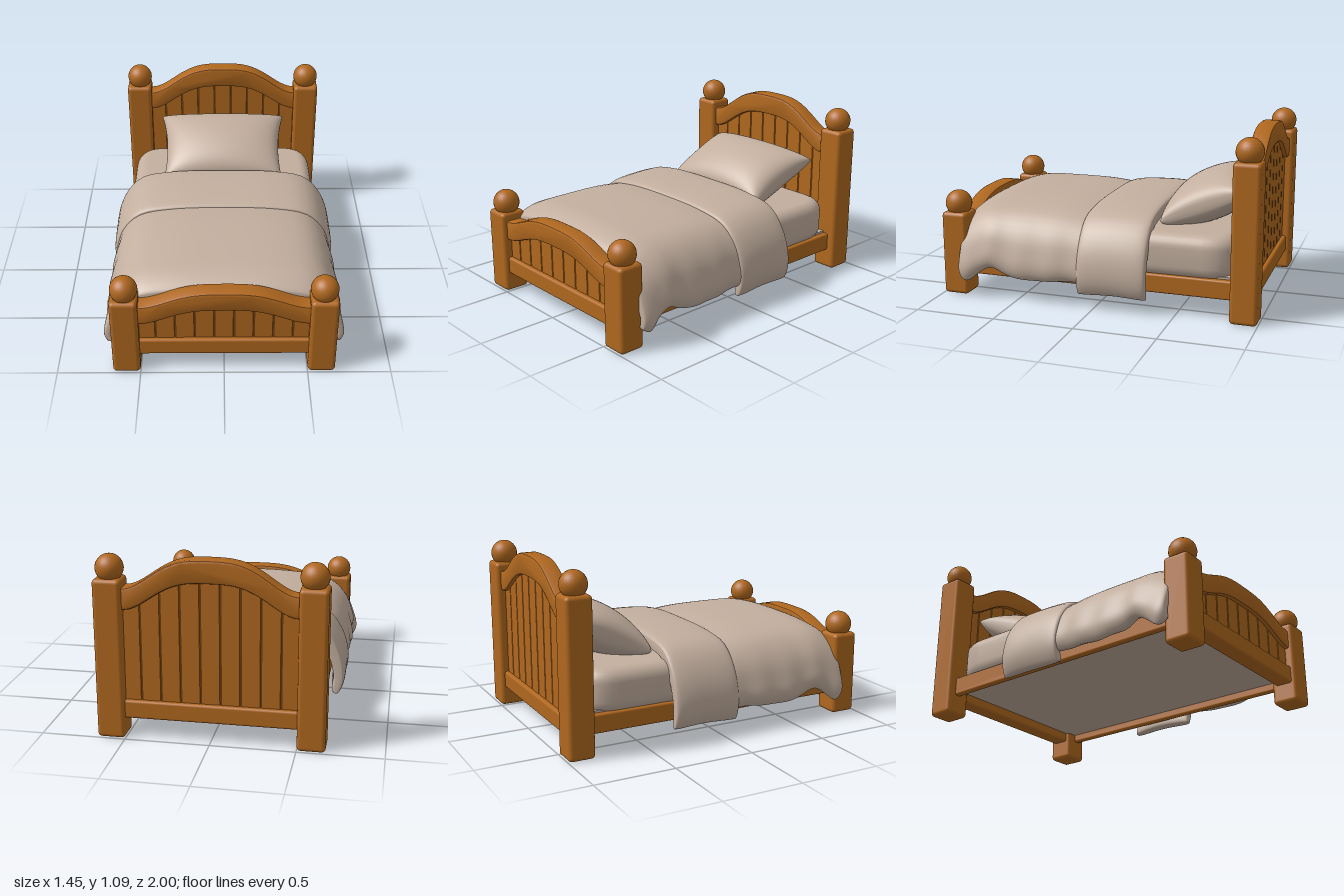
import * as THREE from 'three';
import { toCreasedNormals } from 'three/addons/utils/BufferGeometryUtils.js';
import { RoundedBoxGeometry } from 'three/addons/geometries/RoundedBoxGeometry.js';

const wood = new THREE.MeshStandardMaterial({ color: 0xb0681f });
wood.name = 'honey wood';
const fabric = new THREE.MeshStandardMaterial({ color: 0xc3af9f });
fabric.name = 'beige fabric';

function add(parent, name, geometry, material, x = 0, y = 0, z = 0) {
  const mesh = new THREE.Mesh(geometry, material);
  mesh.name = name;
  mesh.position.set(x, y, z);
  parent.add(mesh);
  return mesh;
}

const roundedBox = (w, h, d, r = 0.02) => new RoundedBoxGeometry(w, h, d, 3, r);

// Extrusion centred on z = 0 with a soft bevel that stays within the given depth
function slab(shape, depth, bevel, steps = 2) {
  const geo = new THREE.ExtrudeGeometry(shape, {
    depth: depth - 2 * bevel, bevelThickness: bevel, bevelSize: bevel,
    bevelOffset: -bevel, bevelSegments: steps, curveSegments: 8,
  });
  geo.translate(0, 0, bevel - depth / 2);
  return toCreasedNormals(geo, 0.7);
}

// Shape between two height functions over an x range
function band(x0, x1, top, bottom, n) {
  const pts = [];
  for (let i = 0; i <= n; i++) { const x = x0 + (x1 - x0) * i / n; pts.push(new THREE.Vector2(x, bottom(x))); }
  for (let i = n; i >= 0; i--) { const x = x0 + (x1 - x0) * i / n; pts.push(new THREE.Vector2(x, top(x))); }
  return new THREE.Shape(pts);
}

// Bell-shaped arch, from base height at the posts to base + rise in the middle
const arch = (base, rise) => x => {
  const t = Math.min(1, Math.abs(x) / 0.5) ** 1.55;
  return base + rise * 0.5 * (1 + Math.cos(Math.PI * t));
};

// Posts, arched rail, planks and bottom rail of one bed end
function bedEnd(name, z, postTop, ballY, topEdge, lowerEdge) {
  const end = new THREE.Group();
  end.name = name;
  end.position.z = z;
  for (const side of [-1, 1]) {
    add(end, 'post', roundedBox(0.165, postTop, 0.165, 0.025), wood, side * 0.583, postTop / 2, 0);
    add(end, 'postBall', new THREE.SphereGeometry(0.082, 24, 16), wood, side * 0.58, ballY, 0);
  }
  add(end, 'archedRail', slab(band(-0.53, 0.53, topEdge, lowerEdge, 40), 0.11, 0.015), wood);
  add(end, 'bottomRail', roundedBox(1.06, 0.11, 0.11, 0.015), wood, 0, 0.175, 0);
  const count = 9, width = 1.04 / count;
  for (let i = 0; i < count; i++) {
    const x = -0.52 + i * width;
    const shape = band(x, x + width, v => lowerEdge(v) + 0.04, () => 0.18, 5);
    add(end, 'plank', slab(shape, 0.056, 0.005, 1), wood);
  }
  return end;
}

// Closed padded sheet: at(p, v, s) gives a point, s being the signed fullness
function padded(at, nu, nv, power) {
  const pos = [], index = [];
  for (let i = 0; i <= nv; i++) {
    const b = Math.PI * i / nv;
    for (let j = 0; j < nu; j++) {
      const a = 2 * Math.PI * j / nu;
      const s = Math.sign(Math.sin(a)) * (Math.abs(Math.sin(a) * Math.sin(b))) ** power;
      pos.push(...at((1 - Math.cos(a)) / 2, (1 - Math.cos(b)) / 2, s));
      if (i < nv) {
        const k = i * nu + j, l = i * nu + (j + 1) % nu;
        index.push(k, k + nu, l, l, k + nu, l + nu);
      }
    }
  }
  const geo = new THREE.BufferGeometry();
  geo.setAttribute('position', new THREE.Float32BufferAttribute(pos, 3));
  geo.setIndex(index);
  geo.computeVertexNormals();
  return geo;
}

// Cover draped across the bed; hang(z) returns [flare, extra drop, sag]
function cover(half, z0, z1, thickness, hang) {
  const left = half.slice(1).reverse().map(([x, y]) => [-x, y]);
  const curve = new THREE.CatmullRomCurve3([...left, ...half].map(([x, y]) => new THREE.Vector3(x, y, 0)));
  return padded((p, v, s) => {
    const z = z0 + (z1 - z0) * v;
    const c = curve.getPointAt(p), t = curve.getTangentAt(p);
    const [flare, drop, sag] = hang(z);
    const low = THREE.MathUtils.clamp((0.5 - c.y) / 0.35, 0, 1);
    return [
      c.x - t.y * s * thickness + Math.sign(c.x) * low * flare,
      c.y + t.x * s * thickness - low * drop - sag * (1 - low),
      z,
    ];
  }, 112, 40, 0.32);
}

const bump = (z, centre, width) => Math.exp(-(((z - centre) / width) ** 2));

export function createModel() {
  const bed = new THREE.Group();
  bed.name = 'bed';

  bed.add(bedEnd('headboard', -0.915, 0.955, 1.008, arch(0.905, 0.18), arch(0.775, 0.175)));
  bed.add(bedEnd('footboard', 0.915, 0.525, 0.573, arch(0.475, 0.1), arch(0.35, 0.1)));

  for (const side of [-1, 1]) {
    add(bed, 'sideRail', roundedBox(0.045, 0.115, 1.72, 0.012), wood, side * 0.59, 0.185, 0);
  }

  // Mattress with rounded corners, on a flat base between the rails
  add(bed, 'mattressBase', new THREE.BoxGeometry(1.15, 0.08, 1.71), fabric, 0, 0.215, 0);
  const w = 0.612, d = 0.85, r = 0.2;
  const outline = new THREE.Shape()
    .moveTo(-w + r, -d).lineTo(w - r, -d).quadraticCurveTo(w, -d, w, -d + r)
    .lineTo(w, d - r).quadraticCurveTo(w, d, w - r, d)
    .lineTo(-w + r, d).quadraticCurveTo(-w, d, -w, d - r)
    .lineTo(-w, -d + r).quadraticCurveTo(-w, -d, -w + r, -d);
  const mattress = add(bed, 'mattress', slab(outline, 0.27, 0.08, 6), fabric, 0, 0.355, 0);
  mattress.rotation.x = -Math.PI / 2;

  // Duvet, flaring and dropping lower at the foot corners
  const duvetHalf = [[0, 0.545], [0.35, 0.532], [0.52, 0.495], [0.61, 0.41], [0.655, 0.3], [0.672, 0.22], [0.655, 0.165]];
  add(bed, 'duvet', cover(duvetHalf, 0.03, 0.87, 0.05, z => [
    0.035 * bump(z, 0.82, 0.07) + 0.012 * bump(z, 0.4, 0.15) + 0.006 * Math.sin(z * 30),
    0.055 * bump(z, 0.82, 0.06) - 0.045 * bump(z, 0.66, 0.07) + 0.015 * bump(z, 0.38, 0.16),
    0.045 * Math.max(0, (z - 0.68) / 0.19) ** 2 + 0.012 * bump(z, 0.05, 0.15),
  ]), fabric);

  // Turned-back top of the duvet
  const foldHalf = [[0, 0.552], [0.35, 0.542], [0.53, 0.505], [0.62, 0.41], [0.667, 0.3], [0.68, 0.19], [0.66, 0.1]];
  add(bed, 'duvetFold', cover(foldHalf, -0.335, 0.092, 0.055, z => [
    0.004 * Math.sin(z * 14), 0.005 * Math.sin(z * 11), 0.03 * (z + 0.14),
  ]), fabric);

  // Pillow with pinched corners, leaning on the headboard
  const pillow = add(bed, 'pillow', padded((p, v, s) => {
    const u = 2 * p - 1, q = 2 * v - 1;
    return [
      (0.415 - 0.012 * q) * u * (1 - 0.07 * (1 - q * q)),
      (s > 0 ? 0.165 : 0.14) * s,
      0.27 * q * (1 - 0.05 * (1 - u * u)),
    ];
  }, 72, 36, 0.72), fabric, 0, 0.612, -0.595);
  pillow.rotation.x = 0.4;

  return bed;
}
